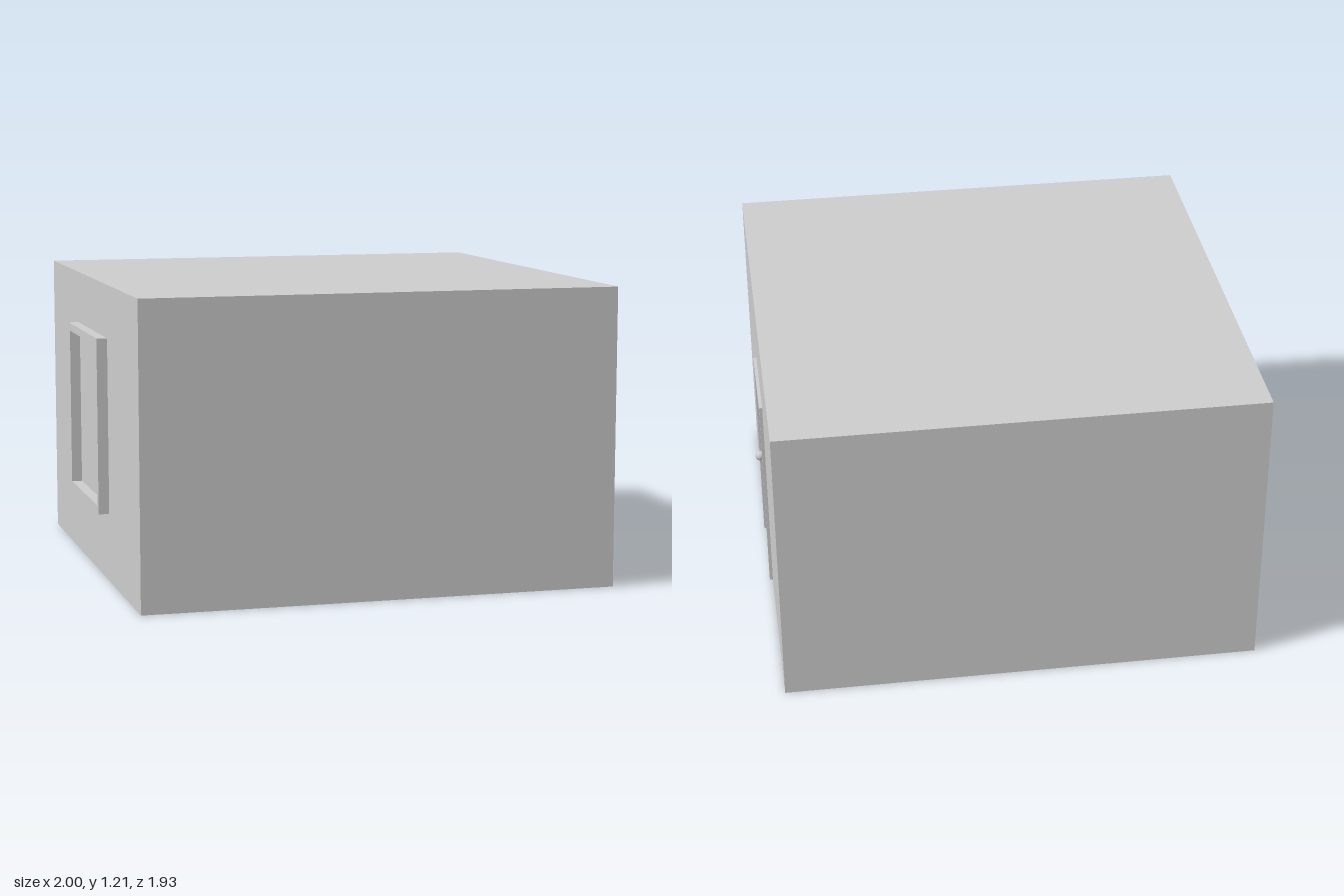
import * as THREE from 'three';

const H = 1.205, T = 0.045;            // wall height and thickness
const X0 = -0.957, X1 = 0.967, Z = 0.963;
const CX = (X0 + X1) / 2, W = X1 - X0;

export function createModel() {
  const model = new THREE.Group();
  const grey = new THREE.MeshStandardMaterial({ color: 0xcccccc });

  const add = (parent, name, geometry, x = 0, y = 0, z = 0) => {
    const mesh = new THREE.Mesh(geometry, grey);
    mesh.name = name;
    mesh.position.set(x, y, z);
    parent.add(mesh);
    return mesh;
  };
  const group = (name) => {
    const g = new THREE.Group();
    g.name = name;
    model.add(g);
    return g;
  };
  const box = (parent, name, w, h, d, x, y, z) =>
    add(parent, name, new THREE.BoxGeometry(w, h, d), x, y, z);

  // Outline drawn across z and y, given thickness along x
  const outline = (points) => points.map(([a, b]) => new THREE.Vector2(a, b));
  const rect = (hw, y0, y1) => outline([[-hw, y0], [hw, y0], [hw, y1], [-hw, y1]]);
  const arch = (hw, h, hw2, h2) => outline([
    [-hw, 0], [-hw2, 0], [-hw2, h2], [hw2, h2], [hw2, 0], [hw, 0], [hw, h], [-hw, h]]);
  const panel = (points, hole, depth) => {
    const shape = new THREE.Shape(points);
    if (hole) shape.holes.push(new THREE.Path(hole));
    return new THREE.ExtrudeGeometry(shape, { depth, bevelEnabled: false }).rotateY(Math.PI / 2);
  };

  // Walls: plain front and back, doorway on the left, window on the right
  const walls = group('walls');
  for (const s of [1, -1]) {
    box(walls, s > 0 ? 'frontWall' : 'backWall', W, H, T, CX, H / 2, s * (Z - T / 2));
  }
  add(walls, 'doorWall', panel(arch(Z - T, H, 0.19, 0.855), null, T), X1 - T);
  add(walls, 'windowWall', panel(rect(Z - T, 0, H), rect(0.31, 0.3, 0.97), T), X0);

  // Floor and ceiling fit flush between the walls
  box(model, 'floor', W - 2 * T, 0.01, 2 * (Z - T), CX, 0.005, 0);
  box(model, 'ceiling', W - 2 * T, T, 2 * (Z - T), CX, H - T / 2, 0);

  // Door set back in its frame, with a threshold and a knob on each face
  const door = group('door');
  add(door, 'doorFrame', panel(arch(0.2, 0.87, 0.183, 0.845), null, 0.07), 0.91);
  box(door, 'doorLeaf', 0.03, 0.835, 0.366, 0.938, 0.4275, 0);
  box(door, 'threshold', T, 0.01, 0.366, X1 - T / 2, 0.005, 0);
  for (const s of [1, -1]) {
    add(door, 'doorKnob', new THREE.SphereGeometry(0.021, 24, 16), 0.938 + s * 0.041, 0.41, 0.145);
    add(door, 'knobStem', new THREE.CylinderGeometry(0.008, 0.008, 0.03, 16).rotateZ(Math.PI / 2),
      0.938 + s * 0.025, 0.41, 0.145);
  }

  // Window frame standing out from the wall, with a flat pane
  const win = group('window');
  add(win, 'windowFrame', panel(rect(0.33, 0.278, 0.99), rect(0.298, 0.31, 0.958), 0.088), -1);
  box(win, 'windowPane', 0.015, 0.648, 0.596, -0.95, 0.634, 0);

  return model;
}
